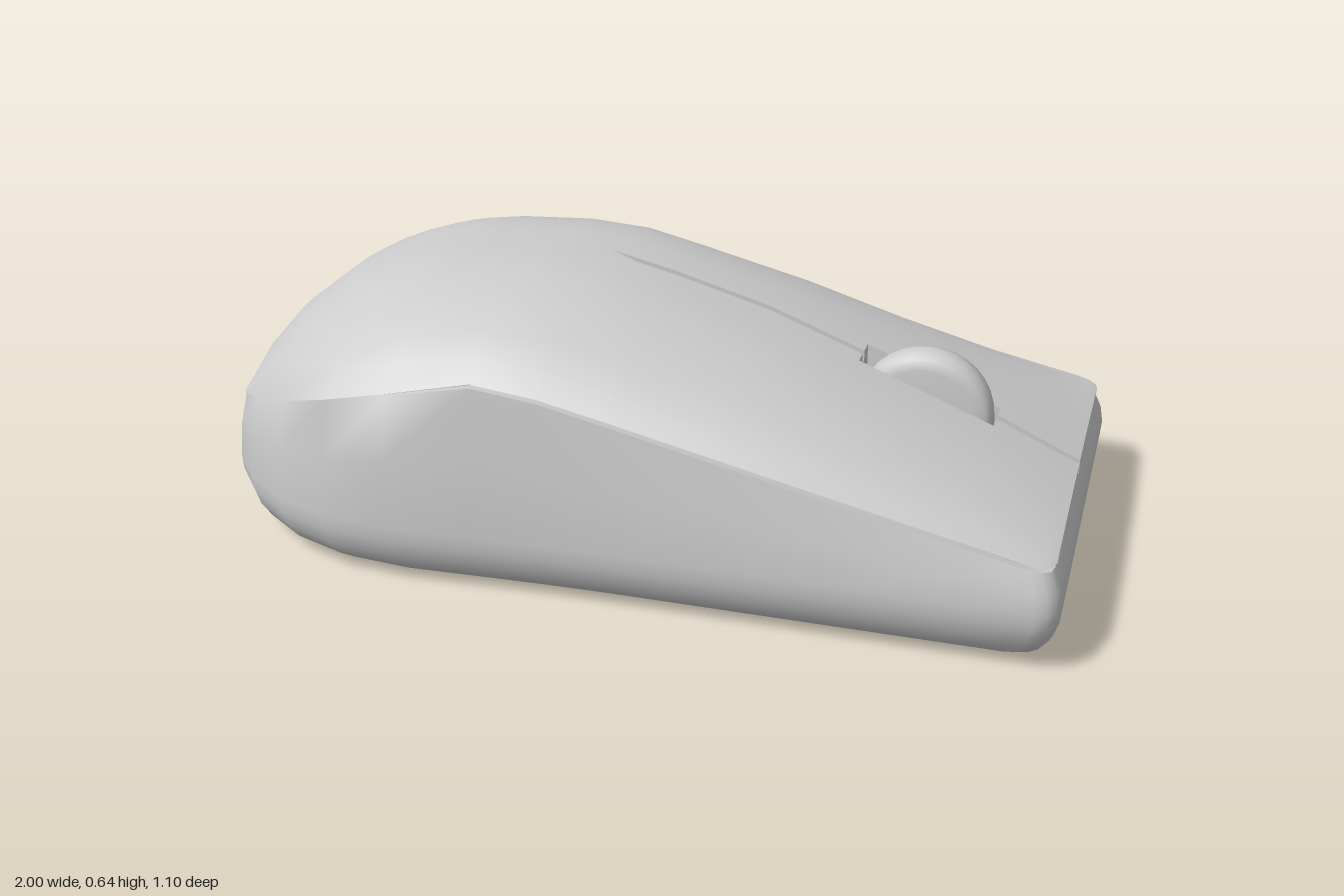
import * as THREE from 'three';
import { toCreasedNormals } from 'three/addons/utils/BufferGeometryUtils.js';

const HALF = 0.545;   // half width of the body
const LIP = 0.018;    // inset of the shell edge
const WELL = 0.053;   // half width of the wheel well

// piecewise linear lookup
function interp(table, x) {
  if (x <= table[0][0]) return table[0][1];
  for (let i = 1; i < table.length; i++) {
    const [x0, y0] = table[i - 1], [x1, y1] = table[i];
    if (x <= x1) return y0 + (y1 - y0) * (x - x0) / (x1 - x0);
  }
  return table[table.length - 1][1];
}

// height of the shell edge, height of the spine, gap under the shell, seam depth
const edge = [[-1, 0.25], [-0.88, 0.325], [-0.55, 0.425], [-0.22, 0.495], [0.97, 0.235], [1, 0.23]];
const spine = [[-0.4, 0.635], [-0.25, 0.636], [-0.1, 0.63], [0.1, 0.583], [0.28, 0.53], [0.5, 0.445], [0.78, 0.335], [0.982, 0.242]];
const gap = [[-0.55, 0], [-0.22, 0.012], [1, 0.012]];
const seam = [[-0.1, 0], [0.05, 0.022], [1, 0.022]];
// rise of the crown from edge to spine
const crown = [[0, 0], [0.1, 0.27], [0.24, 0.52], [0.45, 0.77], [0.68, 0.93], [0.85, 0.985], [1, 1]];

// half outline in plan, from the tail to the middle of the nose: x, half width, inside the well
const stations = [
  [-1, 0], [-0.995, 0.07], [-0.98, 0.14], [-0.925, 0.28], [-0.84, 0.39], [-0.73, 0.475],
  [-0.6, 0.53], [-0.45, 0.548], [-0.25, 0.54], [-0.1, 0.535], [0.05, 0.534], [0.28, 0.537],
  [0.5, 0.54], [0.5, 0.54, true], [0.81, 0.544, true], [0.81, 0.544], [0.95, 0.546],
  [0.976, 0.54], [0.994, 0.522], [1, 0.495], [1, 0.25], [1, 0],
];

// cross-section of one station, from the bottom centre round the side to the top centre
function section([x, w, inWell]) {
  const e = interp(edge, x), g = interp(gap, x);
  const at = (inset, y) => [x * (1 - inset), y, w * (1 - inset / HALF)];
  const rim = e - g;
  const inner = LIP + 0.004 + g * 2.5;
  const lower = [
    [x * 0.87, 0, 0], at(0.13, 0), at(0.065, 0.015), at(0.035, 0.036), at(0.014, 0.07), at(0.003, 0.105),
    at(0, 0.14), at(0.006, 0.14 + (rim - 0.14) * 0.5), at(LIP + 0.004, rim),
  ];
  const groove = [at(inner, rim), at(inner, e)];
  const [ox, , oz] = at(LIP, e);
  const sx = Math.max(-0.4, ox), sy = interp(spine, sx);
  const sz = x < 0 ? Math.min(WELL, w * 0.1) : WELL;
  const top = crown.map(([t, f]) => [ox + (sx - ox) * t, e + (sy - e) * f, oz + (sz - oz) * t]);
  // seam between the buttons, widened and deepened for the wheel
  const half = inWell ? sz : Math.min(sz, 0.011);
  const depth = inWell ? 0.15 : interp(seam, x);
  top.push([sx, sy, half], [sx, sy - depth, half], [sx, sy - depth, 0]);
  return { lower, groove, top };
}

// skin the sections on both sides, level by level, and cut the skin into parts
function bodyParts() {
  const sections = stations.map(section);
  const rows = sections.map(s => [...s.lower, ...s.groove, ...s.top]);
  const pos = [];
  const levels = rows[0].length - 1;
  for (let j = 0; j < levels; j++) {
    for (let i = 0; i < rows.length - 1; i++) {
      const a = rows[i][j], b = rows[i + 1][j], c = rows[i + 1][j + 1], d = rows[i][j + 1];
      for (const p of [a, b, c, a, c, d]) pos.push(...p);
      for (const p of [a, c, b, a, d, c]) pos.push(p[0], p[1], -p[2]);
    }
  }
  let skin = new THREE.BufferGeometry();
  skin.setAttribute('position', new THREE.Float32BufferAttribute(pos, 3));
  skin = toCreasedNormals(skin, 0.95);

  const perLevel = (rows.length - 1) * 12 * 3;
  const slice = (from, to) => {
    const geo = new THREE.BufferGeometry();
    for (const name of ['position', 'normal']) {
      const part = skin.getAttribute(name).array.slice(from * perLevel, to * perLevel);
      geo.setAttribute(name, new THREE.BufferAttribute(part, 3));
    }
    return geo;
  };
  const rim = sections[0].lower.length - 1;
  const lip = rim + sections[0].groove.length + 1;
  return { lowerBody: slice(0, rim), shellGap: slice(rim, lip), topShell: slice(lip, levels) };
}

export function createModel() {
  const group = new THREE.Group();
  const grey = new THREE.MeshStandardMaterial({ color: 0xcccccc });
  grey.name = 'lightGrey';

  for (const [name, geo] of Object.entries(bodyParts())) {
    const mesh = new THREE.Mesh(geo, grey);
    mesh.name = name;
    group.add(mesh);
  }

  // scroll wheel with rounded shoulders
  const profile = [[0, -0.042], [0.115, -0.042], [0.14, -0.038], [0.151, -0.026], [0.155, 0],
    [0.151, 0.026], [0.14, 0.038], [0.115, 0.042], [0, 0.042]].map(p => new THREE.Vector2(...p));
  const wheel = new THREE.Mesh(toCreasedNormals(new THREE.LatheGeometry(profile, 32), 0.8), grey);
  wheel.name = 'scrollWheel';
  wheel.rotation.x = Math.PI / 2;
  wheel.position.set(0.635, 0.32, 0);
  group.add(wheel);

  return group;
}
